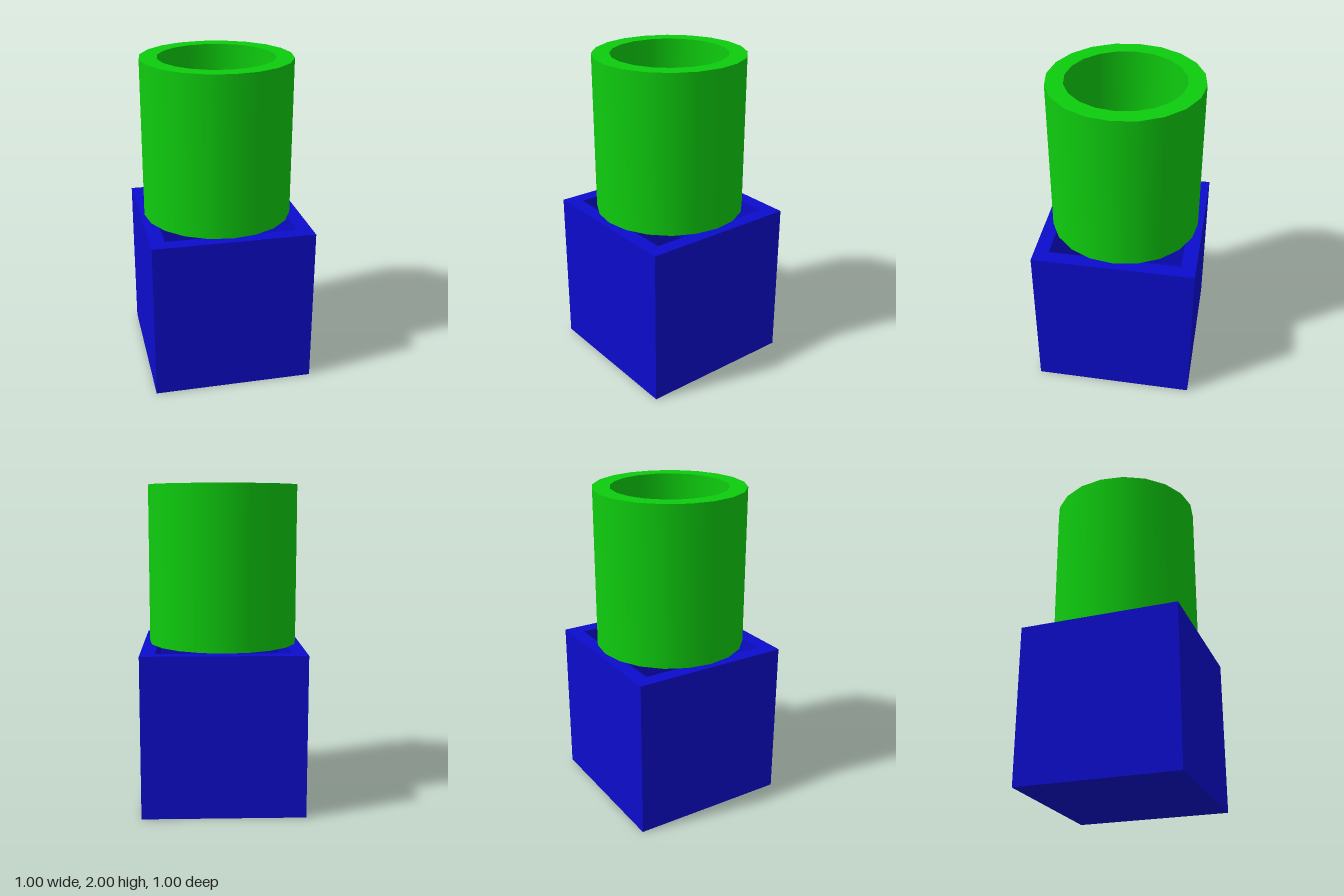
import * as THREE from 'three';
import { mergeGeometries } from 'three/addons/utils/BufferGeometryUtils.js';

// Hollow vessel, open at the top: each profile edge is its own lathe, so rims stay sharp
function vessel(outer, inner, bottom, floor, top, sides) {
  const profile = [
    [0, bottom], [outer, bottom], [outer, top],
    [inner, top], [inner, floor], [0, floor],
  ].map(([x, y]) => new THREE.Vector2(x, y));
  const bands = [];
  for (let i = 0; i < profile.length - 1; i++) {
    bands.push(new THREE.LatheGeometry([profile[i], profile[i + 1]], sides));
  }
  return mergeGeometries(bands);
}

export function createModel() {
  const model = new THREE.Group();
  const blue = new THREE.MeshStandardMaterial({ name: 'blue', color: 0x0c0ccc });
  const green = new THREE.MeshStandardMaterial({ name: 'green', color: 0x0ecc0e });

  // Square open box: a four-sided vessel turned by 45 degrees, with flat faces
  const boxGeometry = vessel(0.5 * Math.SQRT2, 0.409 * Math.SQRT2, 0, 0.09, 1, 4)
    .rotateY(Math.PI / 4)
    .toNonIndexed();
  boxGeometry.computeVertexNormals();
  const box = new THREE.Mesh(boxGeometry, blue);
  box.name = 'squareBox';

  // Round cup standing just above the box, slightly off centre
  const cup = new THREE.Mesh(vessel(0.468, 0.36, 1.01, 1.11, 2, 20), green);
  cup.name = 'roundCup';
  cup.position.x = -0.008;

  model.add(box, cup);
  return model;
}
